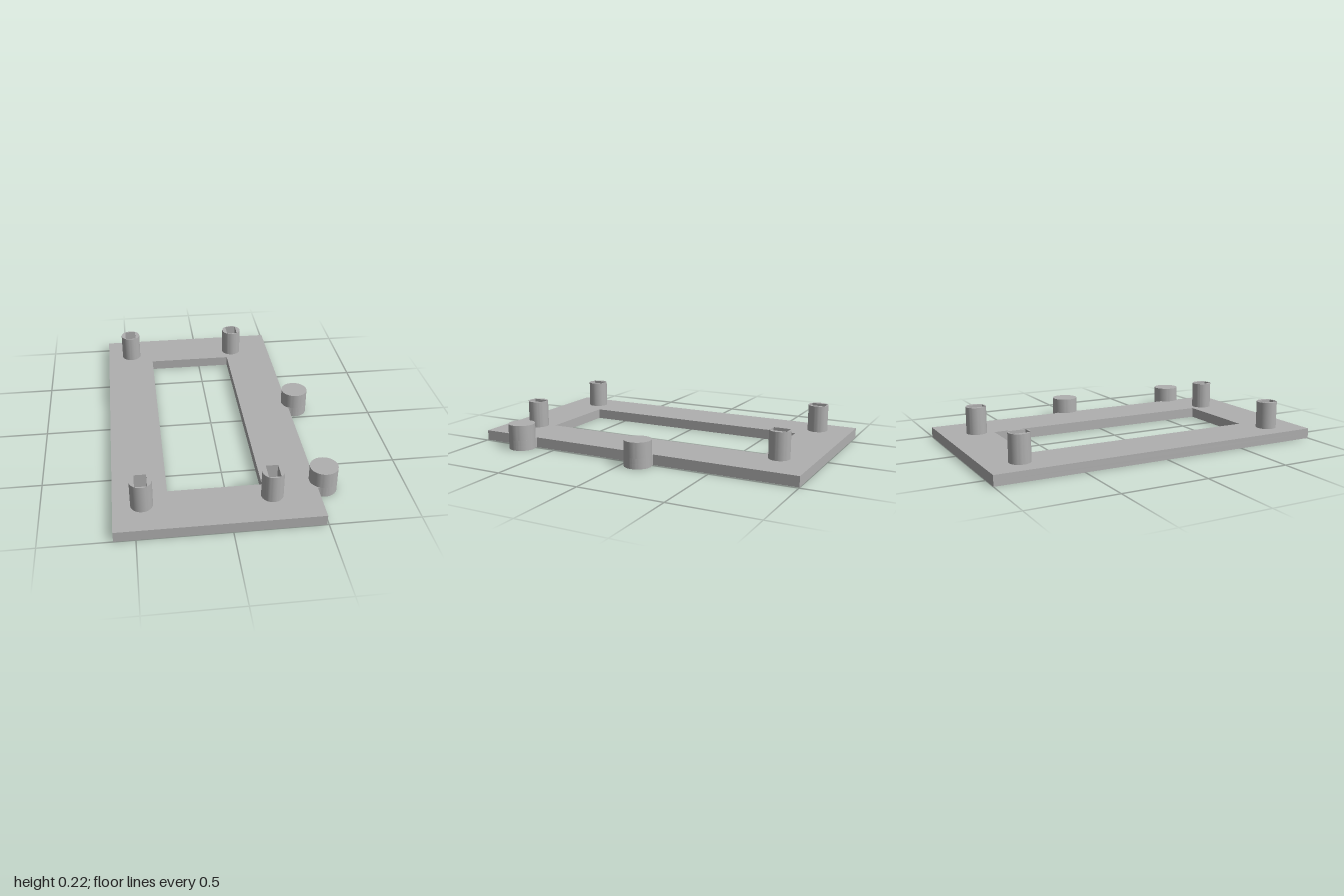
import * as THREE from 'three';
import { toCreasedNormals } from 'three/addons/utils/BufferGeometryUtils.js';

const PLATE_TOP = 0.06, RECESS = 0.03;
const POSTS = [-0.46, 0.235].flatMap(x => [-0.8, 0.8].map(z => [x, z]));
const PEG_X = 0.535, PEG_R = 0.078, PEG_BORE = 0.038, PEG_Z = [0.7, -0.09];

// Closed path from [x, z] pairs; shape y is -z
const polygon = (points, Type = THREE.Path) =>
  new Type(points.map(([x, z]) => new THREE.Vector2(x, -z)));

const rectangle = (x, z, hw, hd) =>
  polygon([[x - hw, z - hd], [x + hw, z - hd], [x + hw, z + hd], [x - hw, z + hd]]);

const slot = (x, z) => rectangle(x, z, 0.033, 0.049);

const hexagon = (x, z) => polygon(Array.from({ length: 6 }, (_, i) => {
  const a = (i + 0.5) * Math.PI / 3;
  return [x + 0.065 * Math.cos(a), z + 0.065 * Math.sin(a)];
}));

const circle = (x, z, r, Type = THREE.Path) => {
  const path = new Type();
  path.absarc(x, -z, r, 0, Math.PI * 2, false);
  return path;
};

// Extrude a floor-plan shape upward from y0 to y1
function slab(shape, y0, y1) {
  const g = new THREE.ExtrudeGeometry(shape, { depth: y1 - y0, bevelEnabled: false, curveSegments: 24 });
  g.rotateX(-Math.PI / 2);
  g.translate(0, y0, 0);
  return toCreasedNormals(g, 0.6);
}

// Frame outline with two tabs rounded around the side pegs
function frameShape(postHole) {
  const s = new THREE.Shape();
  const edge = 0.49, tab = 0.072, a = Math.PI - Math.asin(tab / PEG_R);
  s.moveTo(-0.615, -1);
  s.lineTo(edge, -1);
  for (const z of PEG_Z) {
    s.lineTo(edge, -z - tab);
    s.absarc(PEG_X, -z, PEG_R, -a, a, false);
    s.lineTo(edge, -z + tab);
  }
  s.lineTo(edge, 1);
  s.lineTo(-0.615, 1);
  s.closePath();
  s.holes.push(rectangle(-0.0625, 0, 0.2575, 0.705));
  POSTS.forEach(([x, z]) => s.holes.push(postHole(x, z)));
  PEG_Z.forEach(z => s.holes.push(circle(PEG_X, z, PEG_BORE)));
  return s;
}

export function createModel() {
  const group = new THREE.Group();
  const grey = new THREE.MeshStandardMaterial({ color: 0xb0b0b0 });
  grey.name = 'grey';
  const add = (name, geometry) => {
    const mesh = new THREE.Mesh(geometry, grey);
    mesh.name = name;
    group.add(mesh);
    return mesh;
  };

  // Plate: hexagonal recesses below, narrow slots above
  add('plateLower', slab(frameShape(hexagon), 0, RECESS));
  add('plateUpper', slab(frameShape(slot), RECESS, PLATE_TOP));

  // Slotted corner posts
  for (const [x, z] of POSTS) {
    const shape = circle(x, z, 0.06, THREE.Shape);
    shape.holes.push(slot(x, z));
    add('post', slab(shape, PLATE_TOP, 0.22));
  }

  // Side pegs, bored from below
  const profile = [[0, 0.11], [PEG_BORE, 0.11], [PEG_BORE, PLATE_TOP], [PEG_R, PLATE_TOP], [PEG_R, 0.15], [0, 0.15]]
    .map(([r, y]) => new THREE.Vector2(r, y));
  const pegGeometry = toCreasedNormals(new THREE.LatheGeometry(profile, 48), 0.6);
  for (const z of PEG_Z) add('sidePeg', pegGeometry).position.set(PEG_X, 0, z);

  return group;
}
